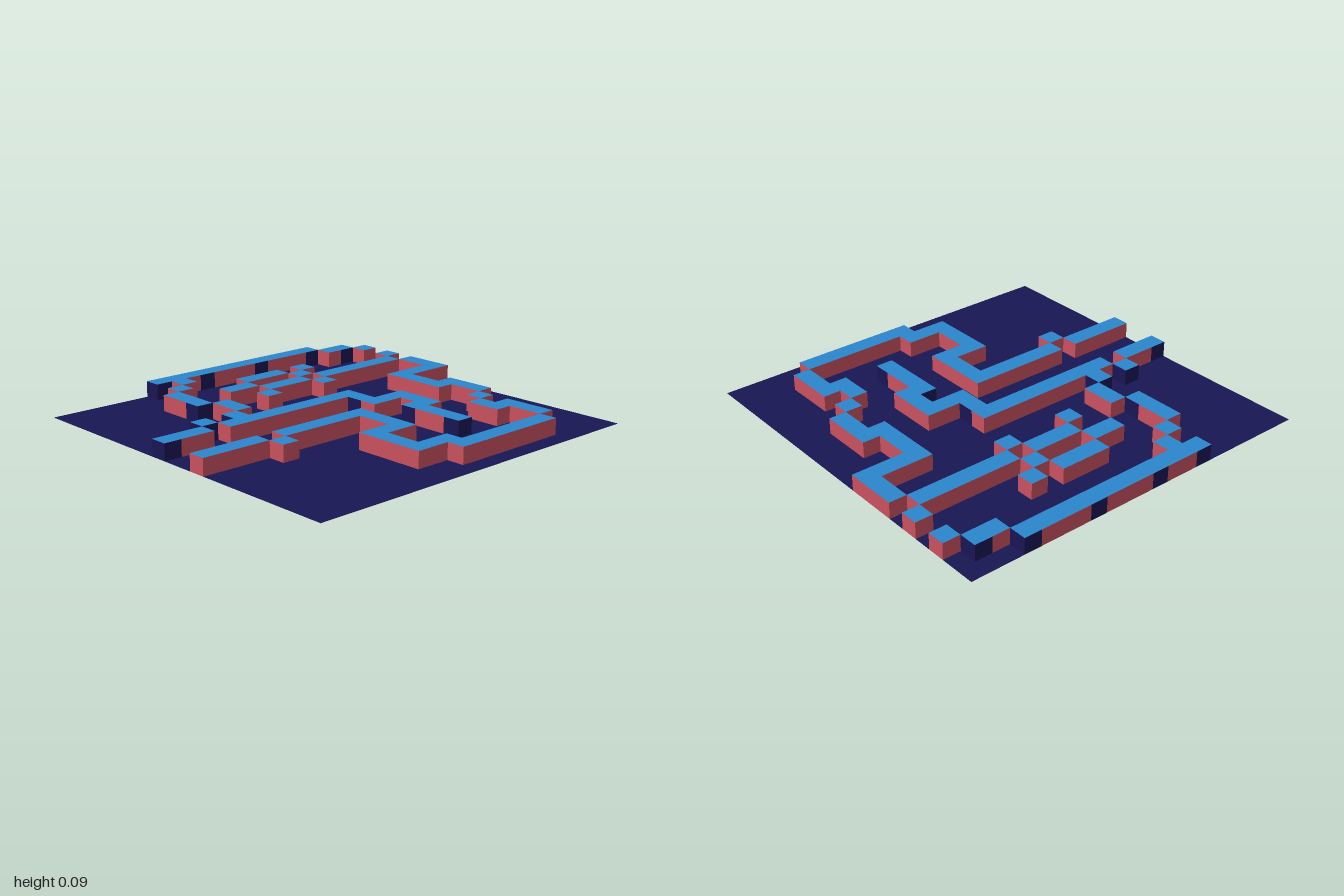
import * as THREE from 'three';
import { mergeGeometries } from 'three/addons/utils/BufferGeometryUtils.js';

const N = 21, S = 2 / N, H = 0.086;

// Long winding walls: corner cells as column, row pairs
const WINDING = [
  [6, 0, 8, 0, 8, 3, 11, 3, 11, 2, 13, 2],
  [15, 4, 16, 4, 16, 3, 18, 3],
  [19, 4, 19, 10, 18, 10, 18, 12, 15, 12, 15, 10, 12, 10, 12, 15],
  [9, 16, 9, 8, 11, 8, 11, 6, 13, 6, 13, 7, 16, 7],
];

// Straight walls: first and last cell
const STRAIGHT = [
  [0, 3, 0, 14], [1, 1, 1, 2], [5, 1, 5, 6], [3, 8, 3, 10], [5, 8, 5, 10],
  [4, 11, 4, 12], [6, 14, 7, 14], [3, 15, 5, 15], [12, 17, 12, 20], [9, 18, 9, 20],
];

// Single blocks
const BLOCKS = [[2, 0], [4, 0], [14, 3], [3, 6], [4, 7], [6, 7], [6, 11],
  [1, 13], [2, 14], [8, 15], [13, 16], [8, 17]];

// Cells whose side faces are dark
const DARK = new Set(['0,3', '0,7', '0,11', '0,14', '1,1', '5,15', '8,15',
  '8,17', '9,20', '10,8', '13,7', '16,7']);

// Marks every cell along a path of corner cells
function markPath(raised, path) {
  let [c, r] = path;
  raised.add(`${c},${r}`);
  for (let i = 2; i < path.length; i += 2) {
    while (c !== path[i] || r !== path[i + 1]) {
      c += Math.sign(path[i] - c);
      r += Math.sign(path[i + 1] - r);
      raised.add(`${c},${r}`);
    }
  }
}

function flatTile(c, r, y) {
  return new THREE.PlaneGeometry(S, S).rotateX(-Math.PI / 2)
    .translate(-1 + (c + 0.5) * S, y, -1 + (r + 0.5) * S);
}

// Upright face of a cell, looking towards (dx, dz)
function sideTile(c, r, dx, dz) {
  return new THREE.PlaneGeometry(S, H).rotateY(Math.atan2(dx, dz))
    .translate(-1 + (c + 0.5 + dx / 2) * S, H / 2, -1 + (r + 0.5 + dz / 2) * S);
}

export function createModel() {
  const group = new THREE.Group();
  group.name = 'mazeBoard';

  const raised = new Set();
  for (const path of [...WINDING, ...STRAIGHT, ...BLOCKS]) markPath(raised, path);

  const floor = [], tops = [], sides = [], darkSides = [];
  for (let r = 0; r < N; r++) {
    for (let c = 0; c < N; c++) {
      const key = `${c},${r}`;
      // Floor is open beneath the hollow walls
      if (!raised.has(key)) { floor.push(flatTile(c, r, 0)); continue; }
      tops.push(flatTile(c, r, H));
      for (const [dx, dz] of [[1, 0], [-1, 0], [0, 1], [0, -1]])
        if (!raised.has(`${c + dx},${r + dz}`))
          (DARK.has(key) ? darkSides : sides).push(sideTile(c, r, dx, dz));
    }
  }

  const add = (name, tiles, color) => {
    const material = new THREE.MeshStandardMaterial({ color, side: THREE.DoubleSide });
    const mesh = new THREE.Mesh(mergeGeometries(tiles), material);
    mesh.name = name;
    group.add(mesh);
  };
  add('floor', floor, 0x191654);
  add('wallTops', tops, 0x2a86cc);
  add('wallSides', sides, 0xcb5260);
  add('darkWallSides', darkSides, 0x191654);
  return group;
}
